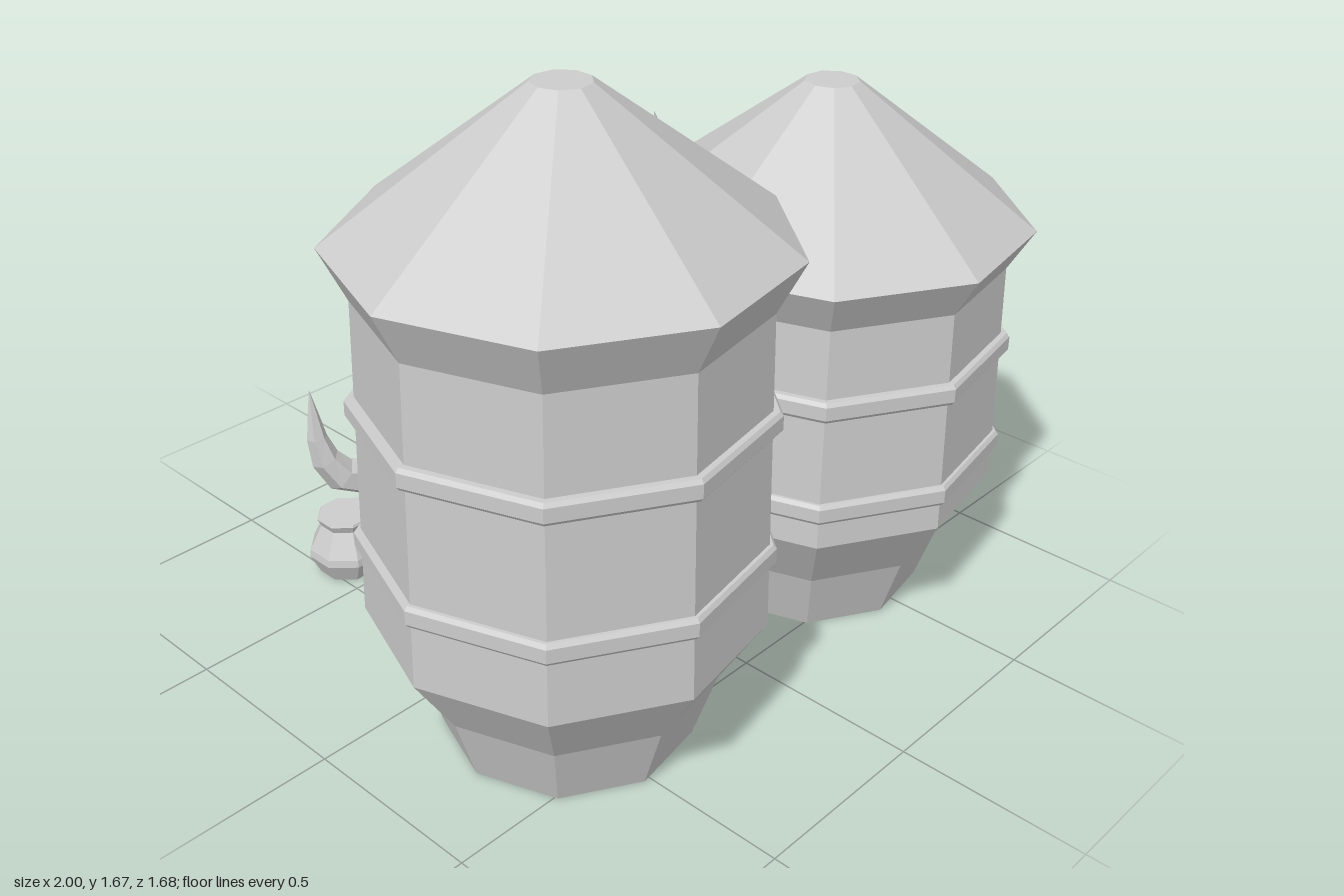
import * as THREE from 'three';

const stone = new THREE.MeshStandardMaterial({ color: 0xcccccc, flatShading: true, side: THREE.DoubleSide });
stone.name = 'plain grey';

function add(parent, name, geometry, x = 0, y = 0, z = 0) {
  const mesh = new THREE.Mesh(geometry, stone);
  mesh.name = name;
  mesh.position.set(x, y, z);
  parent.add(mesh);
  return mesh;
}

// faceted turned shape from [radius, height] pairs, bottom to top
function turned(profile, sides, phase) {
  return new THREE.LatheGeometry(profile.map(([r, y]) => new THREE.Vector2(r, y)), sides, phase);
}

// curved horn that tapers to a point along the given path
function horn(points, radius, sides = 6, steps = 6) {
  const curve = new THREE.CatmullRomCurve3(points.map((p) => new THREE.Vector3(...p)));
  const geometry = new THREE.TubeGeometry(curve, steps, radius, sides);
  const pos = geometry.attributes.position;
  const v = new THREE.Vector3();
  for (let i = 0; i < pos.count; i++) {
    const t = Math.floor(i / (sides + 1)) / steps;
    const centre = curve.getPointAt(t);
    v.fromBufferAttribute(pos, i).sub(centre).multiplyScalar(1 - t ** 1.5).add(centre);
    pos.setXYZ(i, v.x, v.y, v.z);
  }
  geometry.computeVertexNormals();
  return geometry;
}

// nine-sided storage tower with flared cap, two hoops and a roof spike
function createSilo(name, neck, cap, top, hoops) {
  const silo = new THREE.Group();
  silo.name = name;
  const phase = -Math.PI / 2;
  add(silo, 'towerBody', turned([[0, 0], [0.315, 0], [0.375, 0.18], [0.49, 0.36], [0.475, neck]], 9, phase));
  add(silo, 'towerRoof', turned([[0.475, neck], [0.54, cap], [0.07, top], [0, top]], 9, phase));
  for (const y of hoops) {
    add(silo, 'hoop', turned([[0.47, -0.028], [0.495, -0.028], [0.503, -0.018], [0.503, 0.018], [0.495, 0.028], [0.47, 0.028]], 9, phase), 0, y, 0);
  }
  const spike = add(silo, 'roofSpike', new THREE.ConeGeometry(0.025, 0.14, 6), 0.425, cap + 0.095, -0.105);
  spike.rotation.z = 0.3;
  return silo;
}

// gabled outline for the doorway
function gable(ShapeType, half, wall, peak, bottom) {
  const s = new ShapeType();
  s.moveTo(-half, bottom);
  s.lineTo(half, bottom);
  s.lineTo(half, wall);
  s.lineTo(0, peak);
  s.lineTo(-half, wall);
  s.closePath();
  return s;
}

function createHut() {
  const hut = new THREE.Group();
  hut.name = 'hut';
  const phase = Math.PI / 12;
  add(hut, 'hutWall', turned([[0, 0], [0.4, 0], [0.43, 0.055], [0.41, 0.44]], 12, phase));
  add(hut, 'hutRoof', turned([[0.4, 0.43], [0.455, 0.43], [0.47, 0.455], [0.285, 0.605], [0.055, 0.75], [0, 0.75]], 12, phase));

  // large side horns and small door horns
  for (const s of [-1, 1]) {
    add(hut, 'sideHorn', horn([[s * 0.38, 0.37, -0.14], [s * 0.49, 0.38, -0.165], [s * 0.55, 0.46, -0.19], [s * 0.565, 0.66, -0.21]], 0.06));
    add(hut, 'doorHorn', horn([[s * 0.13, 0.245, -0.41], [s * 0.175, 0.25, -0.41], [s * 0.2, 0.29, -0.405], [s * 0.2, 0.37, -0.4]], 0.026, 5, 5));
  }

  // doorway at the back
  const frame = gable(THREE.Shape, 0.155, 0.26, 0.335, 0);
  frame.holes.push(gable(THREE.Path, 0.115, 0.235, 0.285, 0.015));
  add(hut, 'doorFrame', new THREE.ExtrudeGeometry(frame, { depth: 0.07, bevelEnabled: false }), 0, 0, -0.442);
  add(hut, 'door', new THREE.ExtrudeGeometry(gable(THREE.Shape, 0.12, 0.24, 0.29, 0.01), { depth: 0.05, bevelEnabled: false }), 0, 0, -0.425);
  add(hut, 'doorKnob', new THREE.IcosahedronGeometry(0.014), 0.04, 0.14, -0.435);
  add(hut, 'doorStep', new THREE.BoxGeometry(0.385, 0.015, 0.14), 0, 0.0075, -0.46);
  return hut;
}

// octagonal pot with a wide belly and flat lid
function createPot(r, h) {
  const pot = new THREE.Group();
  pot.name = 'pot';
  const phase = Math.PI / 8;
  add(pot, 'potBody', turned([[0, 0], [r * 0.75, 0], [r, h * 0.32], [r * 0.97, h * 0.44], [r * 0.64, h * 0.84]], 8, phase));
  add(pot, 'potLid', turned([[r * 0.64, h * 0.84], [r * 0.73, h * 0.96], [r * 0.7, h], [0, h]], 8, phase));
  return pot;
}

export function createModel() {
  const model = new THREE.Group();
  model.name = 'storageTowersWithHut';

  const tall = createSilo('tallTower', 1.18, 1.31, 1.67, [0.912, 0.558]);
  tall.position.set(-0.462, 0, 0.305);
  const short = createSilo('shortTower', 0.97, 1.08, 1.44, [0.757, 0.463]);
  short.position.set(0.49, 0, 0.305);
  const hut = createHut();
  hut.position.set(-0.02, 0, -0.315);
  model.add(tall, short, hut);

  for (const [x, z, r, h] of [[0.53, -0.495, 0.165, 0.235], [0.353, -0.718, 0.126, 0.178], [-0.44, -0.61, 0.11, 0.178]]) {
    const pot = createPot(r, h);
    pot.position.set(x, 0, z);
    model.add(pot);
  }
  return model;
}
